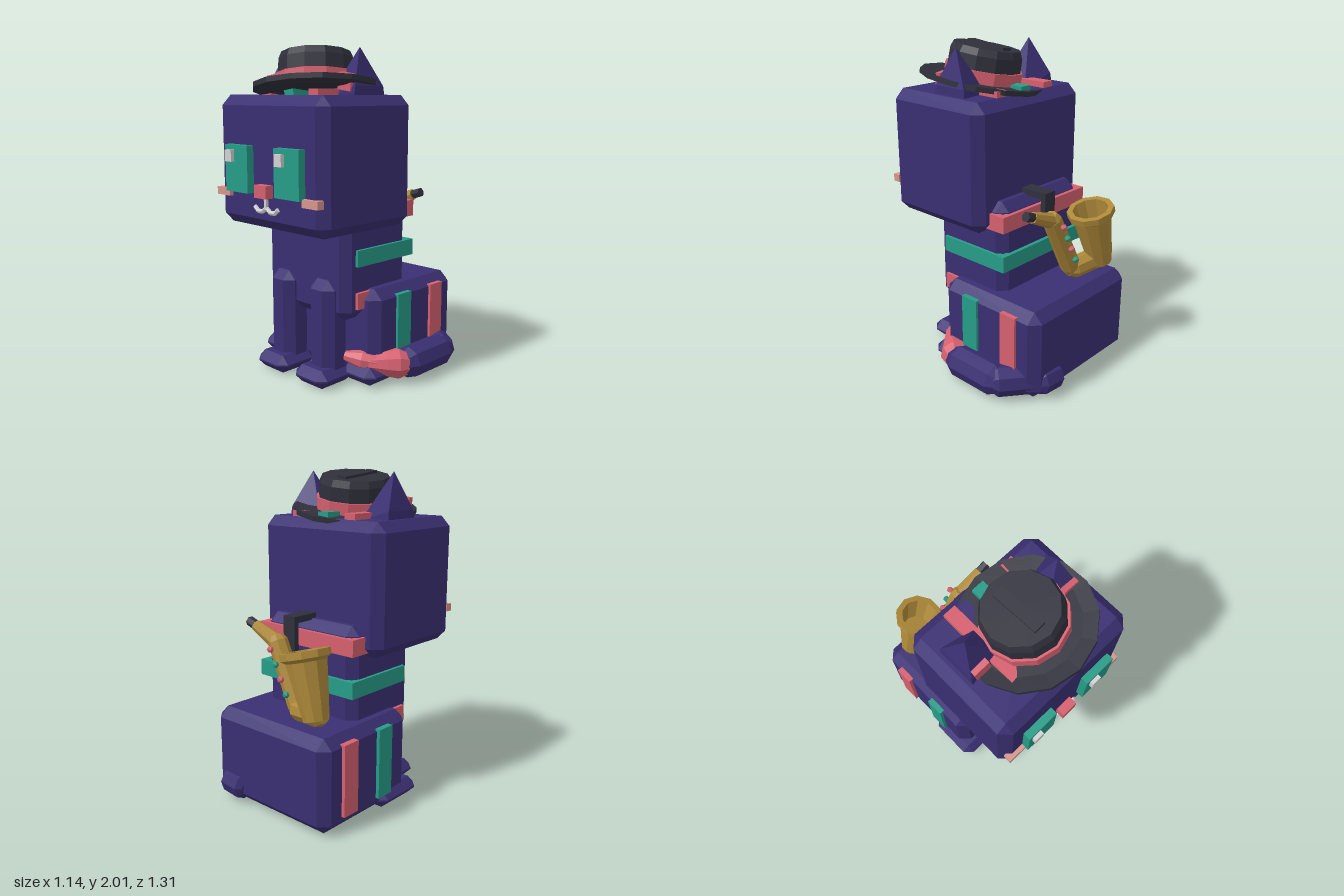
import * as THREE from 'three';
import { ConvexGeometry } from 'three/addons/geometries/ConvexGeometry.js';

const CX = -0.07; // symmetry plane of the animal

function makeMaterial(name, color) {
  return Object.assign(new THREE.MeshStandardMaterial({ color, flatShading: true }), { name });
}

// Box given by its limits, with every edge bevelled by c
function bevelBox([x0, x1], [y0, y1], [z0, z1], c) {
  const pts = [];
  for (const [x, sx] of [[x0, 1], [x1, -1]])
    for (const [y, sy] of [[y0, 1], [y1, -1]])
      for (const [z, sz] of [[z0, 1], [z1, -1]])
        pts.push(
          new THREE.Vector3(x, y + sy * c, z + sz * c),
          new THREE.Vector3(x + sx * c, y, z + sz * c),
          new THREE.Vector3(x + sx * c, y + sy * c, z));
  return new ConvexGeometry(pts);
}

export function createModel() {
  const model = new THREE.Group();
  model.name = 'hattedCat';
  const fur = makeMaterial('purple fur', 0x3a2f72);
  const green = makeMaterial('green', 0x279c88);
  const pink = makeMaterial('pink', 0xd6606f);
  const blush = makeMaterial('blush', 0xd6958c);
  const white = makeMaterial('white', 0xd2d2d4);
  const black = makeMaterial('black', 0x30303c);
  const gold = makeMaterial('gold', 0xae893a);

  function add(name, geo, mat, parent = model) {
    const mesh = new THREE.Mesh(geo, mat);
    mesh.name = name;
    parent.add(mesh);
    return mesh;
  }
  const bevel = (name, x, y, z, c, mat) => add(name, bevelBox(x, y, z, c), mat);
  function box(name, x, y, z, mat) {
    const m = add(name, new THREE.BoxGeometry(x[1] - x[0], y[1] - y[0], z[1] - z[0]), mat);
    m.position.set((x[0] + x[1]) / 2, (y[0] + y[1]) / 2, (z[0] + z[1]) / 2);
    return m;
  }
  // Turned shape from a to b; profile holds [radius, fraction along the axis]
  function turned(name, a, b, profile, mat, sides = 8) {
    const A = new THREE.Vector3(...a), dir = new THREE.Vector3(...b).sub(A), len = dir.length();
    const pts = profile.map(([r, t]) => new THREE.Vector2(r, t * len));
    const m = add(name, new THREE.LatheGeometry(pts, sides), mat);
    m.position.copy(A);
    m.quaternion.setFromUnitVectors(new THREE.Vector3(0, 1, 0), dir.normalize());
    return m;
  }
  const tube = (r0, r1) => [[0, 0], [r0, 0], [r1, 1], [0, 1]];
  // Limits of a span at distances d0..d1 from the symmetry plane
  const span = (s, d0, d1) => [CX + s * d0, CX + s * d1].sort((p, q) => p - q);

  // Main body blocks
  bevel('head', [-0.54, 0.40], [0.95, 1.73], [-0.17, 0.585], 0.06, fur);
  bevel('torso', [-0.43, 0.29], [0.40, 1.14], [-0.255, 0.305], 0.055, fur);
  bevel('hindquarters', [-0.53, 0.395], [0.01, 0.58], [-0.605, 0.165], 0.06, fur);

  // Bands around the sides and back of the torso
  for (const [y0, y1, mat] of [[0.47, 0.57, pink], [0.73, 0.83, green], [0.98, 1.08, pink]]) {
    box('bandRight', [-0.45, -0.41], [y0, y1], [-0.28, 0.22], mat);
    box('bandLeft', [0.27, 0.31], [y0, y1], [-0.28, 0.22], mat);
    box('bandBack', [-0.41, 0.27], [y0, y1], [-0.28, -0.24], mat);
  }

  for (const s of [-1, 1]) {
    // Legs and paws
    bevel('frontLeg', span(s, 0.075, 0.28), [0.03, 0.64], [0.17, 0.37], 0.055, fur);
    bevel('frontPaw', span(s, 0.04, 0.315), [0, 0.11], [0.16, 0.46], 0.05, fur);
    bevel('hindPaw', span(s, 0.23, 0.5), [0.01, 0.12], [-0.13, 0.24], 0.05, fur);

    // Flank stripes
    box('greenFlankStripe', span(s, 0.44, 0.482), [0.1, 0.535], [-0.15, -0.028], green);
    box('pinkFlankStripe', span(s, 0.44, 0.482), [0.1, 0.535], [-0.46, -0.342], pink);

    // Ears
    const earPts = [[0.16, 1.71, 0.04], [0.16, 1.71, 0.25], [0.39, 1.71, 0.01], [0.39, 1.71, 0.265],
      [0.385, 1.78, 0.02], [0.385, 1.78, 0.255], [0.32, 2, 0.148]];
    add('ear', new ConvexGeometry(earPts.map(([x, y, z]) => new THREE.Vector3(CX + s * x, y, z))), fur);
    box('innerEar', span(s, 0.265, 0.365), [1.755, 1.855], [0.235, 0.268], pink).rotation.z = -s * 0.14;

    // Face
    box('eye', span(s, 0.12, 0.33), [1.16, 1.44], [0.57, 0.632], green);
    box('cheek', span(s, 0.325, 0.452), [1.125, 1.172], [0.56, 0.61], blush);
    const curve = [[0, 1.085], [0.035, 1.06], [0.075, 1.06], [0.105, 1.085]];
    for (let i = 0; i < 3; i++) {
      const [a, b] = [curve[i], curve[i + 1]];
      turned('mouthLine', [CX + s * a[0], a[1], 0.59], [CX + s * b[0], b[1], 0.59],
        tube(0.014, 0.014), white, 6);
    }
  }
  for (const x of [-0.375, 0.08]) box('eyeHighlight', [x, x + 0.062], [1.34, 1.41], [0.62, 0.656], white);
  box('nose', [-0.12, -0.015], [1.145, 1.22], [0.57, 0.64], pink);
  box('mouthStem', [-0.08, -0.06], [1.075, 1.15], [0.575, 0.602], white);

  // Stripes on top of the head
  for (const [x, mat] of [[-0.315, pink], [-0.11, green], [0.1, pink]])
    box('headStripe', [x, x + 0.08], [1.71, 1.766], [-0.11, 0.41], mat);

  // Tail wrapping round the left side
  const capsule = (r) => [[0, 0], [r * 0.6, 0], [r, 0.15], [r, 0.85], [r * 0.6, 1], [0, 1]];
  turned('tailBase', [0.14, 0.1, -0.57], [0.33, 0.11, -0.56], capsule(0.085), fur);
  turned('tailBend', [0.26, 0.11, -0.54], [0.51, 0.115, -0.35], capsule(0.095), fur);
  turned('tailSide', [0.47, 0.115, -0.43], [0.47, 0.115, 0.01], capsule(0.1), fur);
  turned('tailTip', [0.48, 0.115, -0.04], [0.33, 0.13, 0.16],
    [[0, 0], [0.07, 0], [0.095, 0.25], [0.08, 0.55], [0.05, 1], [0, 1]], pink);
  turned('tailEnd', [0.38, 0.135, 0.12], [0.2, 0.16, 0.22],
    [[0, 0], [0.045, 0], [0.06, 0.45], [0.03, 1], [0, 1]], pink);

  // Tilted hat
  const hat = new THREE.Group();
  hat.name = 'hat';
  hat.position.set(-0.035, 1.765, 0.222);
  hat.rotation.set(-0.115, 0, 0.13);
  model.add(hat);
  const lathe = (name, pts, mat, sides) =>
    add(name, new THREE.LatheGeometry(pts.map((p) => new THREE.Vector2(...p)), sides), mat, hat);
  lathe('hatBrim', [[0, -0.02], [0.3, -0.02], [0.385, -0.008], [0.385, 0.022], [0.3, 0.012], [0, 0.012]], black, 14);
  lathe('hatRibbon', [[0.245, 0], [0.245, 0.085], [0.22, 0.085]], pink, 12);
  lathe('hatCrown', [[0.232, 0.05], [0.228, 0.17], [0.21, 0.212], [0, 0.212]], black, 12);
  const ridge = add('hatRidge', new THREE.BoxGeometry(0.07, 0.03, 0.3), black, hat);
  ridge.position.set(-0.012, 0.213, 0);

  // Strap holding the horn
  box('strapArm', [-0.065, 0.025], [1.13, 1.17], [-0.355, -0.15], black);
  box('strapDrop', [-0.065, 0.025], [0.96, 1.17], [-0.355, -0.32], black);

  // Horn: mouthpiece, neck, body, bow and open bell
  turned('mouthpiece', [0.19, 1.085, -0.41], [0.265, 1.11, -0.41], tube(0.03, 0.03), black, 6);
  turned('hornNeck', [0.01, 1.01, -0.41], [0.205, 1.09, -0.41], tube(0.05, 0.035), gold);
  const low = [-0.17, 0.64, -0.42], high = [0.04, 1.055, -0.405];
  turned('hornBody', low, high, [[0, -0.04], [0.05, -0.04], [0.065, 0.06], [0.06, 0.92], [0.04, 1], [0, 1]], gold);
  turned('hornBow', [-0.13, 0.645, -0.42], [-0.42, 0.68, -0.49], capsule(0.068), gold);
  turned('hornBell', [-0.37, 0.65, -0.495], [-0.265, 1.03, -0.475],
    [[0, 0], [0.075, 0], [0.09, 0.25], [0.12, 0.85], [0.148, 0.9], [0.148, 1], [0.112, 1], [0.085, 0.6], [0, 0.6]], gold, 10);

  // Keys along the horn body
  for (let i = 0; i < 4; i++) {
    const t = 0.24 + i * 0.2;
    const key = add('hornKey', new THREE.IcosahedronGeometry(0.022), i % 2 ? pink : green);
    key.position.set(low[0] + 0.21 * t, low[1] + 0.415 * t, -0.485);
  }
  return model;
}
